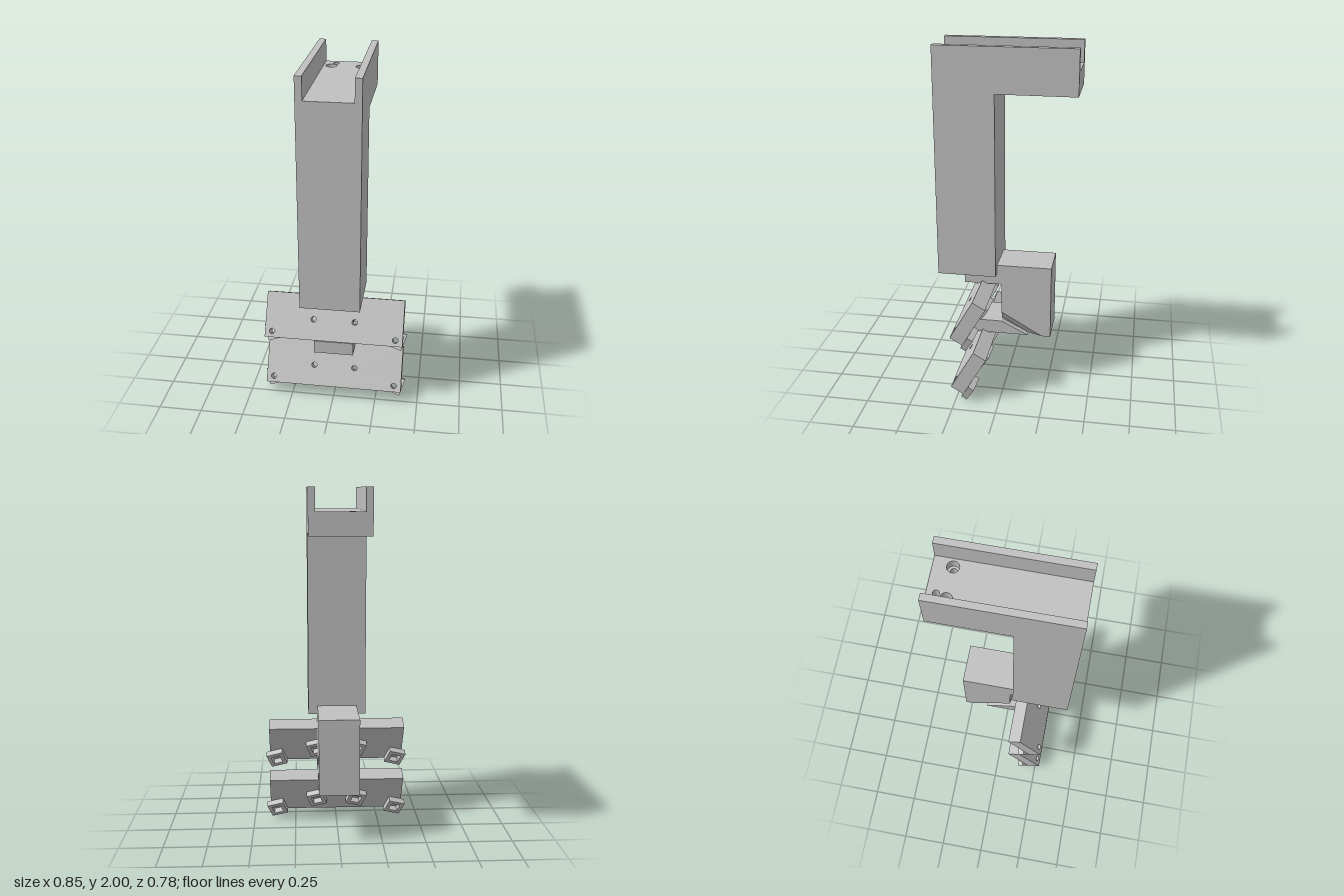
import * as THREE from 'three';

const grey = new THREE.MeshStandardMaterial({ color: 0xc0c0c0 });
grey.name = 'light grey plastic';

function add(parent, name, geometry, x = 0, y = 0, z = 0) {
  const m = new THREE.Mesh(geometry, grey);
  m.name = name;
  m.position.set(x, y, z);
  parent.add(m);
  return m;
}

function polygon(points) {
  return new THREE.Shape(points.map(([a, b]) => new THREE.Vector2(a, b)));
}

function rectangle(w, h) {
  return polygon([[-w / 2, -h / 2], [w / 2, -h / 2], [w / 2, h / 2], [-w / 2, h / 2]]);
}

function drill(shape, x, y, r) {
  shape.holes.push(new THREE.Path().absarc(x, y, r, 0, Math.PI * 2, true));
}

// Extrusion centred on its own depth
function plate(shape, depth) {
  const g = new THREE.ExtrudeGeometry(shape, { depth, bevelEnabled: false, curveSegments: 12 });
  return g.translate(0, 0, -depth / 2);
}

// Profile given as [z, y], extruded across x
const sideProfile = (points, width) => plate(polygon(points), width).rotateY(-Math.PI / 2);

// Channel floor layer with screw holes of radius r
function floorLayer(y0, y1, r) {
  const s = rectangle(0.336, 0.78);
  drill(s, -0.085, 0.288, r);
  drill(s, 0.085, 0.288, r);
  drill(s, -0.065, 0.341, 0.017);
  return plate(s, y1 - y0).rotateX(-Math.PI / 2).translate(0, (y0 + y1) / 2, 0);
}

function buildArm() {
  const g = new THREE.Group();
  g.name = 'arm';
  add(g, 'column', new THREE.BoxGeometry(0.336, 1.06, 0.335), 0, 1.22, 0.2225);
  add(g, 'channelFloorLower', floorLayer(1.75, 1.82, 0.019));
  add(g, 'channelFloorUpper', floorLayer(1.82, 1.875, 0.032));
  for (const s of [-1, 1]) {
    add(g, 'channelRail', new THREE.BoxGeometry(0.038, 0.125, 0.78), s * 0.149, 1.9375, 0);
  }
  return g;
}

function buildBracket() {
  const g = new THREE.Group();
  g.name = 'bracket';
  const top = [[0.245, 0.62], [0.245, 0.69], [0.055, 0.69], [0.055, 0.74], [-0.26, 0.74], [-0.26, 0.3]];
  add(g, 'bracketCore', sideProfile([...top, [0.245, 0.3], [0.245, 0.38], [0.03, 0.38], [0.03, 0.62]], 0.16));
  // Side layers leave a slanted groove between them
  const upper = sideProfile([...top, [-0.21, 0.3], [0.03, 0.44], [0.03, 0.62]], 0.035);
  const lower = sideProfile([[0.245, 0.38], [0.03, 0.38], [-0.125, 0.3], [0.245, 0.3]], 0.035);
  for (const s of [-1, 1]) {
    add(g, 'bracketSide', upper, s * 0.0975);
    add(g, 'prongSide', lower, s * 0.0975);
    const slope = new THREE.BufferGeometry();
    slope.setAttribute('position', new THREE.Float32BufferAttribute([
      s * 0.115, 0.44, 0.03, s * 0.08, 0.39, 0.03,
      s * 0.08, 0.3, -0.125, s * 0.115, 0.3, -0.21], 3));
    slope.setIndex(s > 0 ? [0, 1, 2, 0, 2, 3] : [0, 2, 1, 0, 3, 2]);
    slope.computeVertexNormals();
    add(g, 'grooveSlope', slope);
  }
  return g;
}

// Tilted bar with four drilled holes and square sockets behind them
function buildBar(y) {
  const g = new THREE.Group();
  g.name = 'tiltedBar';
  g.position.set(0, y, 0.1745);
  g.rotation.x = -Math.PI / 6;
  const spots = [[0.12, -0.0125], [0.36, -0.098]];
  const bar = rectangle(0.804, 0.267);
  const frame = rectangle(0.1, 0.1);
  frame.holes.push(rectangle(0.056, 0.056));
  const socket = plate(frame, 0.036);
  for (const s of [-1, 1]) {
    for (const [x, h] of spots) {
      drill(bar, s * x, h, 0.016);
      add(g, 'socket', socket, s * x, h, -0.0595).rotation.z = -s * 0.31;
    }
  }
  add(g, 'bar', plate(bar, 0.083));
  return g;
}

export function createModel() {
  const model = new THREE.Group();
  model.name = 'bracketArm';
  model.add(buildArm(), buildBracket(), buildBar(0.5), buildBar(0.18));
  return model;
}
